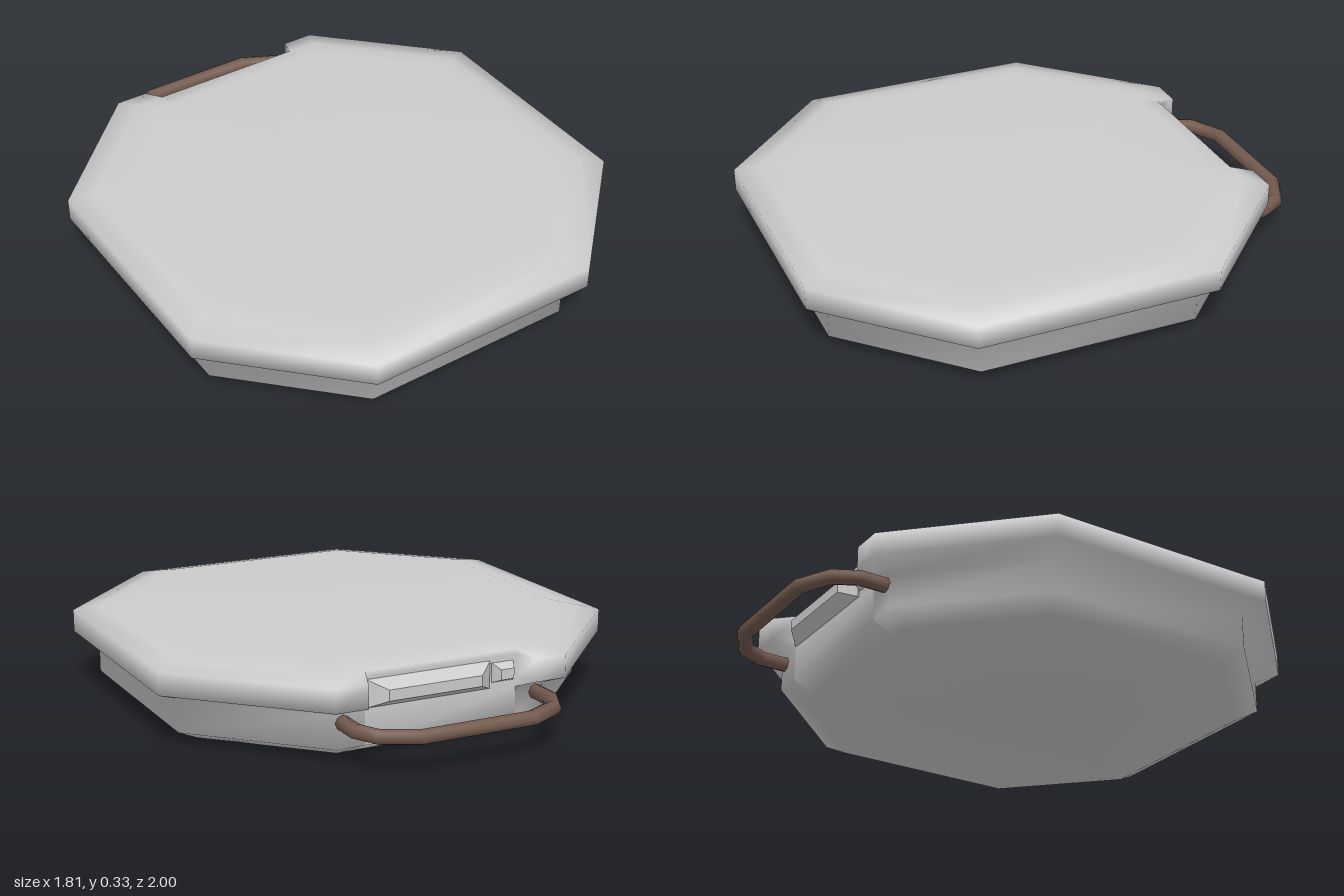
import * as THREE from 'three';

// Skin over closed rings of Vector3, with a fan cap at each end
function skin(rings) {
  const n = rings[0].length, pos = [], idx = [];
  rings.flat().forEach(p => pos.push(p.x, p.y, p.z));
  for (let r = 0; r < rings.length - 1; r++) {
    for (let i = 0; i < n; i++) {
      const a = r * n + i, b = r * n + (i + 1) % n;
      idx.push(a, b, b + n, a, b + n, a + n);
    }
  }
  [0, rings.length - 1].forEach((r, end) => {
    const c = new THREE.Vector3();
    rings[r].forEach(p => c.addScaledVector(p, 1 / n));
    const centre = pos.length / 3;
    pos.push(c.x, c.y, c.z);
    for (let i = 0; i < n; i++) {
      const a = r * n + i, b = r * n + (i + 1) % n;
      idx.push(centre, end ? a : b, end ? b : a);
    }
  });
  const g = new THREE.BufferGeometry();
  g.setAttribute('position', new THREE.Float32BufferAttribute(pos, 3));
  g.setIndex(idx);
  g.computeVertexNormals();
  return g;
}

const WALL = 0.82;      // depth of the recessed back wall from the case centre
const CENTRE_Z = 0.095; // case centre, leaving room for the handle

// Octagon of half-width h whose back rim is notched down to the wall
function caseRing([h, y]) {
  const c = h * 0.5, inner = Math.min(h, WALL);
  const nx = 0.3 + 0.35 * Math.max(0, h - WALL);
  return [
    [-c, h], [c, h], [h, c], [h, -c], [c, -h], [nx, -h], [0.3, -inner],
    [-0.3, -inner], [-nx, -h], [-c, -h], [-h, -c], [-h, c],
  ].map(([x, z]) => new THREE.Vector3(x, y, z + CENTRE_Z));
}

// Bevelled button standing out of the back wall
function buttonGeometry(x0, x1, y0, y1, bevelX, bevelY, tipZ) {
  const ring = (bx, by, z) => [
    [x0 + bx, y1 - by], [x1 - bx, y1 - by], [x1 - bx, y0 + by], [x0 + bx, y0 + by],
  ].map(([x, y]) => new THREE.Vector3(x, y, z));
  return skin([ring(0, 0, -0.715), ring(0, 0, -0.73), ring(bevelX, bevelY, tipZ)]);
}

// Mitred bar swept along a horizontal path of [x, z] points
function barGeometry(path, y, radius, sides) {
  const side = (a, b) => new THREE.Vector2(a[1] - b[1], b[0] - a[0]).normalize();
  return skin(path.map((p, i) => {
    const n1 = side(path[Math.max(i - 1, 0)], path[Math.max(i, 1)]);
    const last = path.length - 1;
    const n2 = side(path[Math.min(i, last - 1)], path[Math.min(i + 1, last)]);
    const m = n1.clone().add(n2).divideScalar(1 + n1.dot(n2));
    return Array.from({ length: sides }, (_, k) => {
      const a = (k / sides) * Math.PI * 2;
      const u = Math.cos(a) * radius, v = -Math.sin(a) * radius;
      return new THREE.Vector3(p[0] + m.x * u, y + v, p[1] + m.y * u);
    });
  }));
}

export function createModel() {
  const model = new THREE.Group();
  model.name = 'octagonalCase';
  const grey = new THREE.MeshStandardMaterial({ color: 0xcccccc });
  const flatGrey = new THREE.MeshStandardMaterial({ color: 0xcccccc, flatShading: true });
  const brown = new THREE.MeshStandardMaterial({ color: 0x735a4e });

  const add = (name, geometry, material) => {
    const mesh = new THREE.Mesh(geometry, material);
    mesh.name = name;
    model.add(mesh);
  };

  // Base and overhanging lid as one smooth shell: [half-width, height]
  const profile = [
    [0.735, 0], [0.82, 0.045], [0.82, 0.17], [0.905, 0.205],
    [0.905, 0.29], [0.82, 0.31], [0.73, 0.33],
  ];
  add('caseShell', skin(profile.map(caseRing)), grey);

  // Latch and button inside the notch
  add('latch', buttonGeometry(-0.19, 0.295, 0.18, 0.28, 0.06, 0.03, -0.78), flatGrey);
  add('smallButton', buttonGeometry(-0.285, -0.2, 0.2, 0.27, 0.016, 0.016, -0.765), flatGrey);

  // Carrying handle, its ends sunk into the back wall
  const half = [[-0.385, -0.71], [-0.385, -0.825], [-0.34, -0.91], [-0.215, -0.972]];
  const path = [...half, ...half.map(([x, z]) => [-x, z]).reverse()];
  add('handle', barGeometry(path, 0.14, 0.028, 8), brown);

  return model;
}
